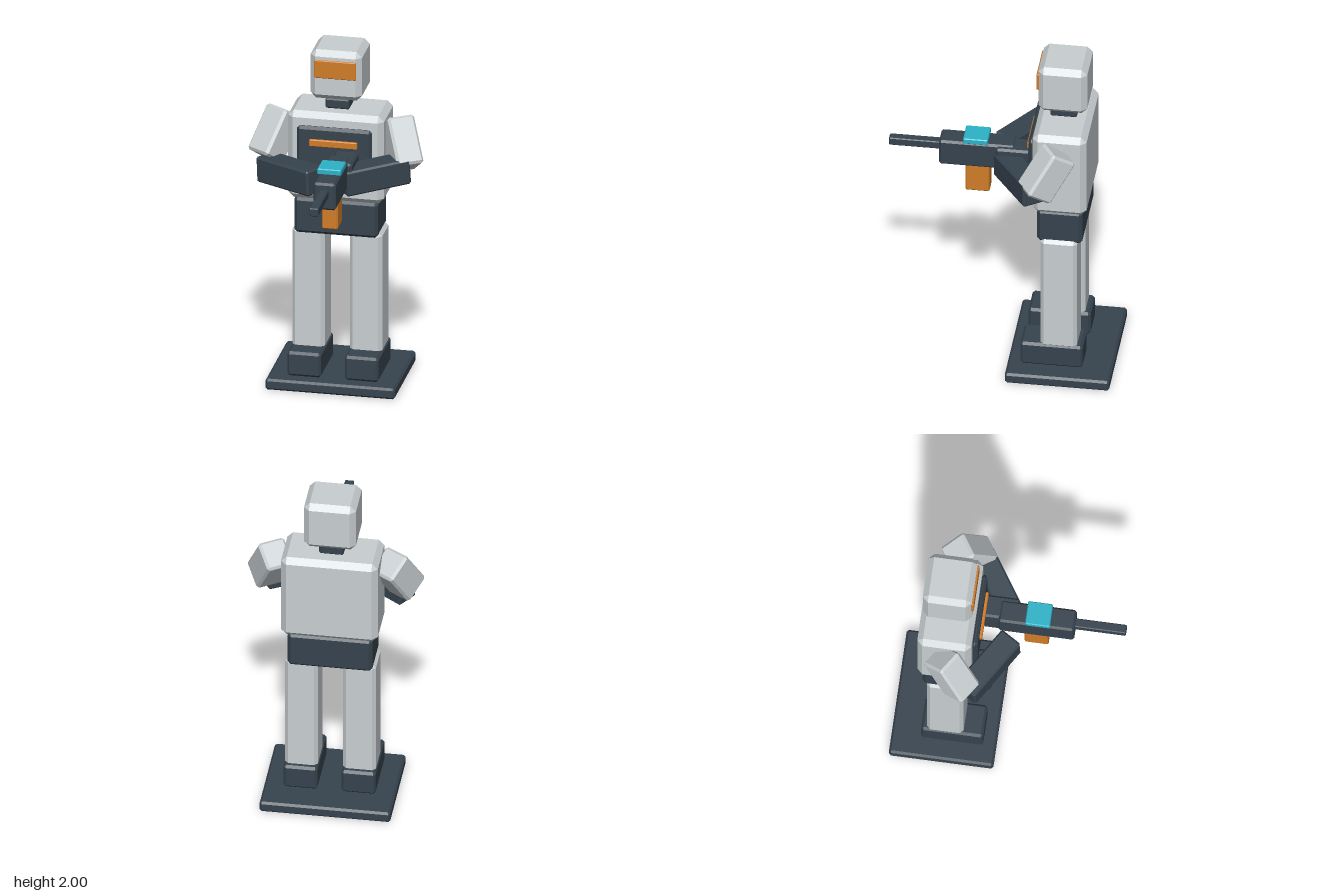
import * as THREE from 'three';
import { ConvexGeometry } from 'three/addons/geometries/ConvexGeometry.js';

const mat = (name, color) => {
  const m = new THREE.MeshStandardMaterial({ color, flatShading: true });
  m.name = name;
  return m;
};

// Box with all twelve edges chamfered by c
function chamferBox(w, h, d, c) {
  const pts = [];
  for (const sx of [-1, 1]) for (const sy of [-1, 1]) for (const sz of [-1, 1]) {
    for (let axis = 0; axis < 3; axis++) {
      const inset = [c, c, c];
      inset[axis] = 0;
      pts.push(new THREE.Vector3(
        sx * (w / 2 - inset[0]), sy * (h / 2 - inset[1]), sz * (d / 2 - inset[2])));
    }
  }
  return new ConvexGeometry(pts);
}

export function createModel() {
  const model = new THREE.Group();
  model.name = 'armedTrooper';
  const light = mat('light grey armour', 0xc9cfd2);
  const dark = mat('dark slate', 0x36434e);
  const orange = mat('orange', 0xd17d28);
  const teal = mat('teal', 0x2cb3c8);

  const add = (name, geometry, material) => {
    const mesh = new THREE.Mesh(geometry, material);
    mesh.name = name;
    model.add(mesh);
    return mesh;
  };
  // Chamfered block given by its limits on each axis
  const block = (name, material, [x0, x1], [y0, y1], [z0, z1], c) => {
    const mesh = add(name, chamferBox(x1 - x0, y1 - y0, z1 - z0, c), material);
    mesh.position.set((x0 + x1) / 2, (y0 + y1) / 2, (z0 + z1) / 2);
    return mesh;
  };

  // Stand
  block('base', dark, [-0.368, 0.368], [0, 0.065], [-0.64, -0.053], 0.012);

  // Legs and feet
  for (const [side, s] of [['left', 1], ['right', -1]]) {
    const span = (a, b) => (s > 0 ? [a, b] : [-b, -a]);
    block(side + 'Foot', dark, span(0.067, 0.26), [0.065, 0.21], [-0.475, -0.125], 0.014);
    block(side + 'Leg', light, span(0.071, 0.256), [0.19, 0.915], [-0.443, -0.237], 0.02);
  }

  // Body
  block('pelvis', dark, [-0.24, 0.237], [0.893, 1.106], [-0.47, -0.215], 0.018);
  block('torso', light, [-0.273, 0.273], [1.105, 1.63], [-0.497, -0.193], 0.032);
  block('chestPlate', dark, [-0.213, 0.213], [1.24, 1.558], [-0.2, -0.163], 0.016);
  block('chestStripe', orange, [-0.138, 0.134], [1.448, 1.488], [-0.17, -0.147], 0.004);

  // Head
  block('neck', dark, [-0.072, 0.066], [1.636, 1.695], [-0.417, -0.267], 0.008);
  block('head', light, [-0.148, 0.145], [1.708, 2], [-0.483, -0.207], 0.032);
  block('visor', orange, [-0.12, 0.117], [1.842, 1.948], [-0.215, -0.197], 0.004);

  // Upper arms, turned outward and swung forward
  for (const [side, s] of [['left', 1], ['right', -1]]) {
    const arm = add(side + 'UpperArm', chamferBox(0.158, 0.28, 0.17, 0.014), light);
    arm.position.set(s * 0.36, 1.452, -0.287);
    arm.rotation.set(-0.61, s * 0.576, 0, 'YXZ');
  }

  // Forearms, running from elbow to hand
  const forearm = (name, elbow, hand) => {
    const a = new THREE.Vector3(...elbow), b = new THREE.Vector3(...hand);
    const mesh = add(name, chamferBox(0.136, 0.148, a.distanceTo(b), 0.01), dark);
    mesh.position.copy(a).lerp(b, 0.5);
    mesh.lookAt(b);
  };
  forearm('leftForearm', [0.4, 1.335, -0.225], [0.078, 1.312, -0.01]);
  forearm('rightForearm', [-0.405, 1.285, -0.203], [-0.066, 1.306, 0.01]);

  // Weapon
  block('weaponStock', dark, [0.012, 0.142], [1.25, 1.432], [-0.165, 0.03], 0.012);
  block('weaponBody', dark, [-0.01, 0.117], [1.28, 1.44], [-0.075, 0.352], 0.012);
  block('weaponBarrel', dark, [0.028, 0.079], [1.357, 1.405], [0.33, 0.638], 0.005);
  block('weaponMagazine', orange, [0.008, 0.098], [1.105, 1.29], [0.07, 0.206], 0.008);
  block('weaponSight', teal, [-0.016, 0.12], [1.435, 1.47], [0.077, 0.216], 0.005);

  return model;
}
